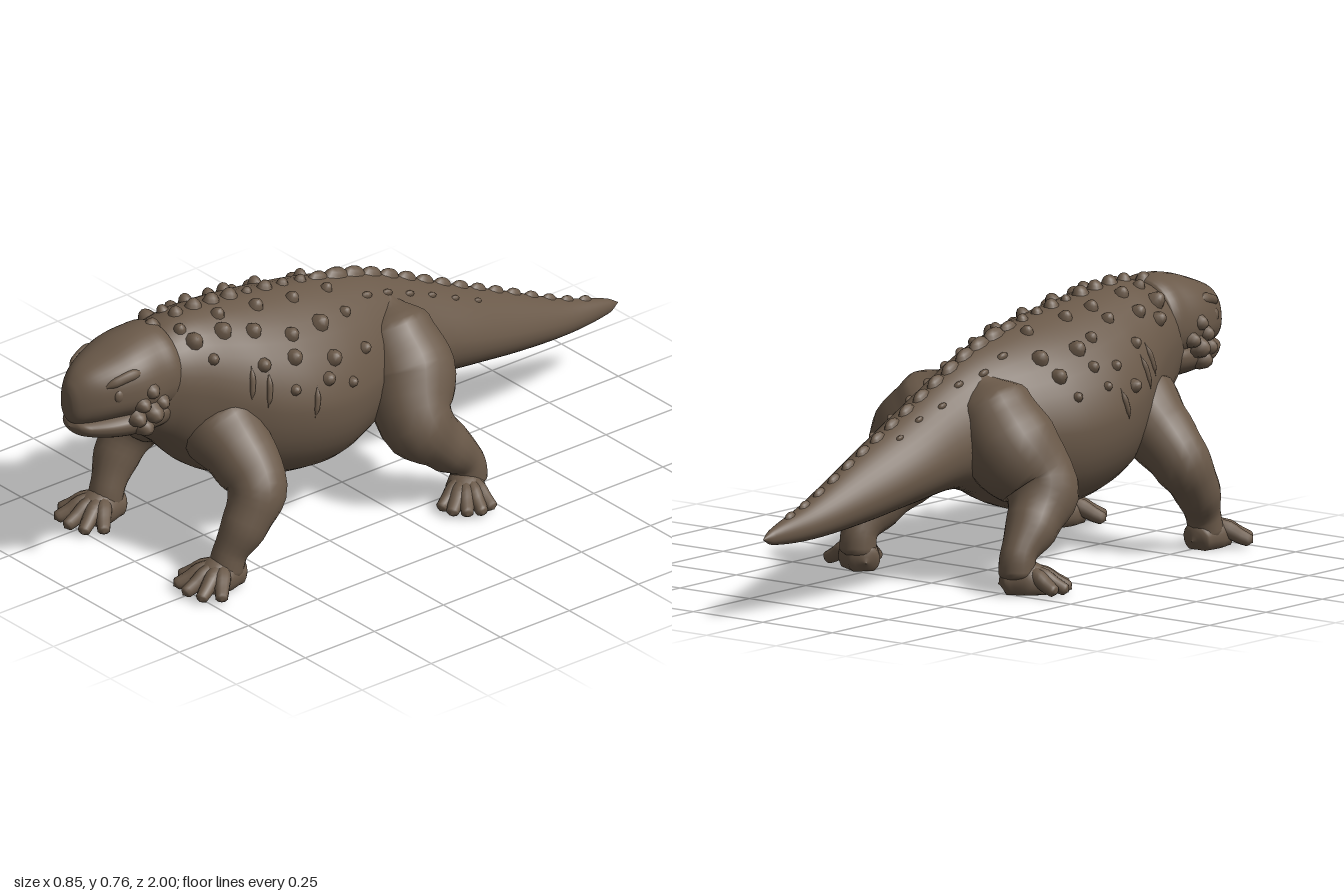
import * as THREE from 'three';

const hide = new THREE.MeshStandardMaterial({ color: 0x6a5949 });
hide.name = 'brown hide';

// Seeded jitter in the range -1..1
let seed = 7;
const jitter = () => ((seed = (seed * 16807) % 2147483647) / 2147483647) * 2 - 1;

function add(group, name, geometry) {
  const mesh = new THREE.Mesh(geometry, hide);
  mesh.name = name;
  group.add(mesh);
  return mesh;
}

// Closed skin over rings of equal length
function skin(rings) {
  const n = rings[0].length, pos = [], idx = [];
  rings.forEach(r => r.forEach(p => pos.push(p.x, p.y, p.z)));
  for (let i = 0; i < rings.length - 1; i++) {
    for (let j = 0; j < n; j++) {
      const a = i * n + j, b = i * n + (j + 1) % n;
      idx.push(a, b, b + n, a, b + n, a + n);
    }
  }
  const g = new THREE.BufferGeometry();
  g.setAttribute('position', new THREE.Float32BufferAttribute(pos, 3));
  g.setIndex(idx);
  g.computeVertexNormals();
  return g;
}

// Smoothly interpolated cross-section at depth z
function sectionAt(keys, z) {
  let i = 0;
  while (i < keys.length - 2 && z > keys[i + 1][0]) i++;
  const k = Math.min(1, Math.max(0, (z - keys[i][0]) / (keys[i + 1][0] - keys[i][0])));
  const p0 = keys[Math.max(0, i - 1)], p1 = keys[i], p2 = keys[i + 1], p3 = keys[Math.min(keys.length - 1, i + 2)];
  return p1.map((v, c) => {
    const w1 = p2[0] - p0[0], w2 = p3[0] - p1[0], h = p2[0] - p1[0];
    const m1 = (p2[c] - p0[c]) / w1 * h, m2 = (p3[c] - p1[c]) / w2 * h;
    const k2 = k * k, k3 = k2 * k;
    return (2 * k3 - 3 * k2 + 1) * v + (k3 - 2 * k2 + k) * m1 + (3 * k2 - 2 * k3) * p2[c] + (k3 - k2) * m2;
  });
}

// Point on a lofted form; key = [z, bottom, top, half width, height of widest line 0..1, exponent]
function surface(keys, z, a) {
  const [, yb, yt, hw, mid, e] = sectionAt(keys, z);
  const c = Math.cos(a), s = Math.sin(a), yc = yb + (yt - yb) * mid;
  const bend = v => Math.sign(v) * Math.abs(v) ** (s > 0 ? e : 0.95);
  return new THREE.Vector3(hw * bend(c), yc + (s > 0 ? yt - yc : yc - yb) * bend(s), z);
}

function loft(keys, sides = 40, steps = 5) {
  const rings = [];
  for (let i = 0; i < keys.length - 1; i++) {
    for (let s = 0; s < steps + (i === keys.length - 2 ? 1 : 0); s++) {
      const z = keys[i][0] + (keys[i + 1][0] - keys[i][0]) * s / steps;
      rings.push(Array.from({ length: sides }, (_, j) => surface(keys, z, j / sides * Math.PI * 2)));
    }
  }
  return skin(rings);
}

// Tapered limb through [x, y, z, radius] points
function limb(points, side, ref, sides = 18, steps = 5) {
  const path = new THREE.CatmullRomCurve3(points.map(p => new THREE.Vector3(p[0] * side, p[1], p[2])));
  const total = (points.length - 1) * steps, rings = [];
  for (let i = 0; i <= total; i++) {
    const t = i / total, u = t * (points.length - 1), k = Math.min(Math.floor(u), points.length - 2), f = u - k;
    const ease = f * f * (3 - 2 * f);
    const r = points[k][3] * (1 - ease) + points[k + 1][3] * ease;
    const c = path.getPoint(t), T = path.getTangent(t);
    const B = ref.clone().addScaledVector(T, -ref.dot(T)).normalize(), N = T.clone().cross(B);
    rings.push(Array.from({ length: sides }, (_, j) => {
      const a = j / sides * Math.PI * 2;
      const p = c.clone().addScaledVector(B, Math.cos(a) * r).addScaledVector(N, Math.sin(a) * r);
      p.y = Math.max(p.y, 0.004);
      return p;
    }));
  }
  return skin(rings);
}

const UP = new THREE.Vector3(0, 1, 0), FORE = new THREE.Vector3(0, 0, 1);

const bodyKeys = [
  [-1.0, 0.238, 0.238, 0, 0.5, 1], [-0.96, 0.218, 0.262, 0.018, 0.5, 1],
  [-0.8, 0.21, 0.315, 0.052, 0.45, 1.1], [-0.6, 0.225, 0.405, 0.09, 0.42, 1.2],
  [-0.4, 0.25, 0.495, 0.122, 0.42, 1.2], [-0.2, 0.265, 0.59, 0.137, 0.42, 1.2],
  [-0.08, 0.235, 0.64, 0.17, 0.44, 1.2], [0.03, 0.185, 0.67, 0.215, 0.46, 1.2],
  [0.15, 0.152, 0.695, 0.252, 0.47, 1.2], [0.28, 0.158, 0.715, 0.262, 0.48, 1.2],
  [0.4, 0.182, 0.73, 0.24, 0.49, 1.15], [0.5, 0.215, 0.74, 0.203, 0.52, 1.1],
  [0.6, 0.275, 0.742, 0.165, 0.56, 1.05], [0.69, 0.365, 0.72, 0.133, 0.55, 1],
  [0.75, 0.42, 0.68, 0.1, 0.5, 1], [0.79, 0.5, 0.64, 0.05, 0.5, 1],
];
const headKeys = [
  [0.66, 0.5, 0.70, 0.09, 0.5, 0.95], [0.68, 0.49, 0.735, 0.124, 0.45, 0.95],
  [0.74, 0.49, 0.742, 0.13, 0.42, 0.95], [0.81, 0.505, 0.73, 0.13, 0.4, 0.9],
  [0.87, 0.512, 0.71, 0.113, 0.4, 0.86], [0.92, 0.512, 0.692, 0.09, 0.42, 0.86],
  [0.955, 0.514, 0.674, 0.068, 0.44, 0.88], [0.98, 0.52, 0.65, 0.046, 0.45, 0.92],
  [0.994, 0.538, 0.622, 0.025, 0.47, 0.95], [1.0, 0.578, 0.578, 0, 0.5, 1],
];
const jawKeys = [
  [0.67, 0.44, 0.56, 0.08, 0.6, 0.9], [0.72, 0.442, 0.56, 0.118, 0.6, 0.9],
  [0.82, 0.448, 0.55, 0.12, 0.6, 0.9], [0.89, 0.458, 0.54, 0.1, 0.6, 0.9],
  [0.95, 0.474, 0.53, 0.066, 0.6, 0.9], [0.976, 0.488, 0.525, 0.041, 0.6, 0.9], [0.988, 0.51, 0.51, 0, 0.5, 1],
];

// Blunt horny knob standing along +y
const knobShape = new THREE.LatheGeometry(
  [[1.25, -0.4], [1.0, 0.15], [0.8, 0.6], [0.45, 0.95], [0, 1.08]].map(p => new THREE.Vector2(...p)), 9);

function knob(group, name, p, normal, r, stretch = 1) {
  const m = add(group, name, knobShape);
  m.position.copy(p);
  m.quaternion.setFromUnitVectors(UP, normal);
  m.scale.set(r, r, r * stretch);
}

// Knob seated on the torso or tail, facing outward
function bodyKnob(group, name, z, a, r, stretch) {
  const p = surface(bodyKeys, z, a), d = 0.01;
  const along = surface(bodyKeys, z + d, a).sub(surface(bodyKeys, z - d, a));
  const around = surface(bodyKeys, z, a + d).sub(surface(bodyKeys, z, a - d));
  knob(group, name, p, around.cross(along).normalize(), r, stretch);
}

function foot(group, name, x, z, side, from, to, length) {
  const g = new THREE.Group();
  g.name = name;
  const mid = (from + to) / 2, dx = Math.sin(mid), dz = Math.cos(mid);
  // Sole
  const sole = (k, y, r) => [x + dx * k, y, z + dz * k, r];
  add(g, 'footPad', limb([sole(-0.072, 0.03, 0), sole(-0.048, 0.036, 0.046), sole(0.015, 0.038, 0.058),
    sole(0.06, 0.03, 0.046), sole(0.095, 0.025, 0)], side, UP));
  // Fan of five toes
  for (let i = 0; i < 5; i++) {
    const a = from + (to - from) * i / 4, l = length * (i === 0 || i === 4 ? 0.9 : 1);
    const at = (k, y, r) => [x + Math.sin(a) * l * k, y, z + Math.cos(a) * l * k, r];
    add(g, 'toe', limb([at(0.1, 0.072, 0.018), at(0.45, 0.054, 0.025), at(0.72, 0.034, 0.021),
      at(0.92, 0.022, 0.018), at(1, 0.016, 0)], side, UP, 10, 3));
  }
  group.add(g);
}

export function createModel() {
  const model = new THREE.Group();
  model.name = 'armouredReptile';
  add(model, 'bodyAndTail', loft(bodyKeys));

  const head = new THREE.Group();
  head.name = 'head';
  model.add(head);
  add(head, 'skull', loft(headKeys));
  add(head, 'lowerJaw', loft(jawKeys));
  // Crown knob
  knob(head, 'crownKnob', new THREE.Vector3(0, 0.732, 0.69), UP, 0.018, 1.3);

  for (const side of [1, -1]) {
    const label = side > 0 ? 'left' : 'right';
    // Legs and feet
    add(model, label + 'FrontLeg', limb([
      [0.05, 0.46, 0.53, 0.05], [0.11, 0.405, 0.53, 0.122], [0.195, 0.34, 0.522, 0.1], [0.264, 0.272, 0.525, 0.086],
      [0.28, 0.185, 0.578, 0.068], [0.268, 0.1, 0.626, 0.05], [0.267, 0.05, 0.64, 0.05], [0.267, 0.03, 0.645, 0]], side, FORE));
    add(model, label + 'HindLeg', limb([
      [0.04, 0.57, -0.1, 0.04], [0.09, 0.49, -0.1, 0.118], [0.165, 0.385, -0.1, 0.138], [0.245, 0.275, -0.068, 0.109],
      [0.275, 0.19, -0.14, 0.077], [0.285, 0.115, -0.216, 0.052], [0.286, 0.06, -0.225, 0.052], [0.288, 0.03, -0.225, 0]], side, FORE));
    foot(model, label + 'FrontFoot', 0.264, 0.648, side, -0.9, 0.85, 0.143);
    foot(model, label + 'HindFoot', 0.294, -0.205, side, 0.25, 1.6, 0.136);

    // Brow ridge and eye
    add(head, label + 'Brow', limb([[0.1, 0.66, 0.78, 0], [0.1, 0.664, 0.84, 0.016],
      [0.089, 0.652, 0.89, 0.014], [0.07, 0.632, 0.935, 0]], side, UP, 10));
    const eye = add(head, label + 'Eye', new THREE.SphereGeometry(0.018, 14, 10));
    eye.position.set(side * 0.096, 0.61, 0.885);
    eye.scale.set(0.7, 1.2, 1);

    // Cheek horns: x, y, z, radius
    [[0.126, 0.605, 0.79, 0.022], [0.126, 0.57, 0.82, 0.021], [0.13, 0.535, 0.785, 0.028],
      [0.122, 0.53, 0.835, 0.023], [0.12, 0.497, 0.81, 0.026], [0.13, 0.56, 0.755, 0.02]]
      .forEach(([x, y, z, r]) => knob(head, label + 'CheekHorn',
        new THREE.Vector3(side * x, y, z), new THREE.Vector3(side, -0.15, 0.1).normalize(), r));

    // Scattered rows down the back: angle, first z, last z, count, radius
    [[1.22, 0.12, 0.62, 5, 0.018], [0.92, 0.08, 0.62, 6, 0.021], [0.6, 0.08, 0.58, 5, 0.019], [0.36, 0.14, 0.36, 3, 0.016]]
      .forEach(([a, z0, z1, n, r]) => {
        for (let i = 0; i < n; i++) {
          const z = z0 + (z1 - z0) * i / (n - 1) + jitter() * 0.022, b = a + jitter() * 0.08;
          bodyKnob(model, label + 'BackKnob', z, side > 0 ? b : Math.PI - b, r * (1 + jitter() * 0.25));
        }
      });
    // Low scutes beside the hips and tail
    for (let i = 0; i < 6; i++) {
      const a = 1.05 + jitter() * 0.06;
      bodyKnob(model, label + 'TailScute', -0.45 + i * 0.085, side > 0 ? a : Math.PI - a, 0.007 + i * 0.0006, 1.8);
    }
    // Flank wrinkles
    for (const [z, a0, a1] of [[0.29, 0.35, -0.05], [0.43, 0.5, 0.05], [0.475, 0.55, 0.1]]) {
      const pts = [0, 0.33, 0.67, 1].map((k, i) => {
        const p = surface(bodyKeys, z + k * 0.02, a0 + (a1 - a0) * k);
        return [p.x, p.y, p.z, [0, 0.009, 0.008, 0][i]];
      });
      add(model, label + 'FlankFold', limb(pts, side, FORE, 8, 4));
    }
  }

  // Crest along the spine: long scutes on the tail, knobs on the back
  for (let i = 0; i < 24; i++) {
    const z = -0.88 + i * 0.0645;
    const r = z < -0.1 ? 0.01 + (z + 0.88) * 0.009 : 0.018 + jitter() * 0.006;
    bodyKnob(model, 'spineKnob', z, Math.PI / 2, r, z < 0.1 ? 2 : 1.15);
  }
  return model;
}
